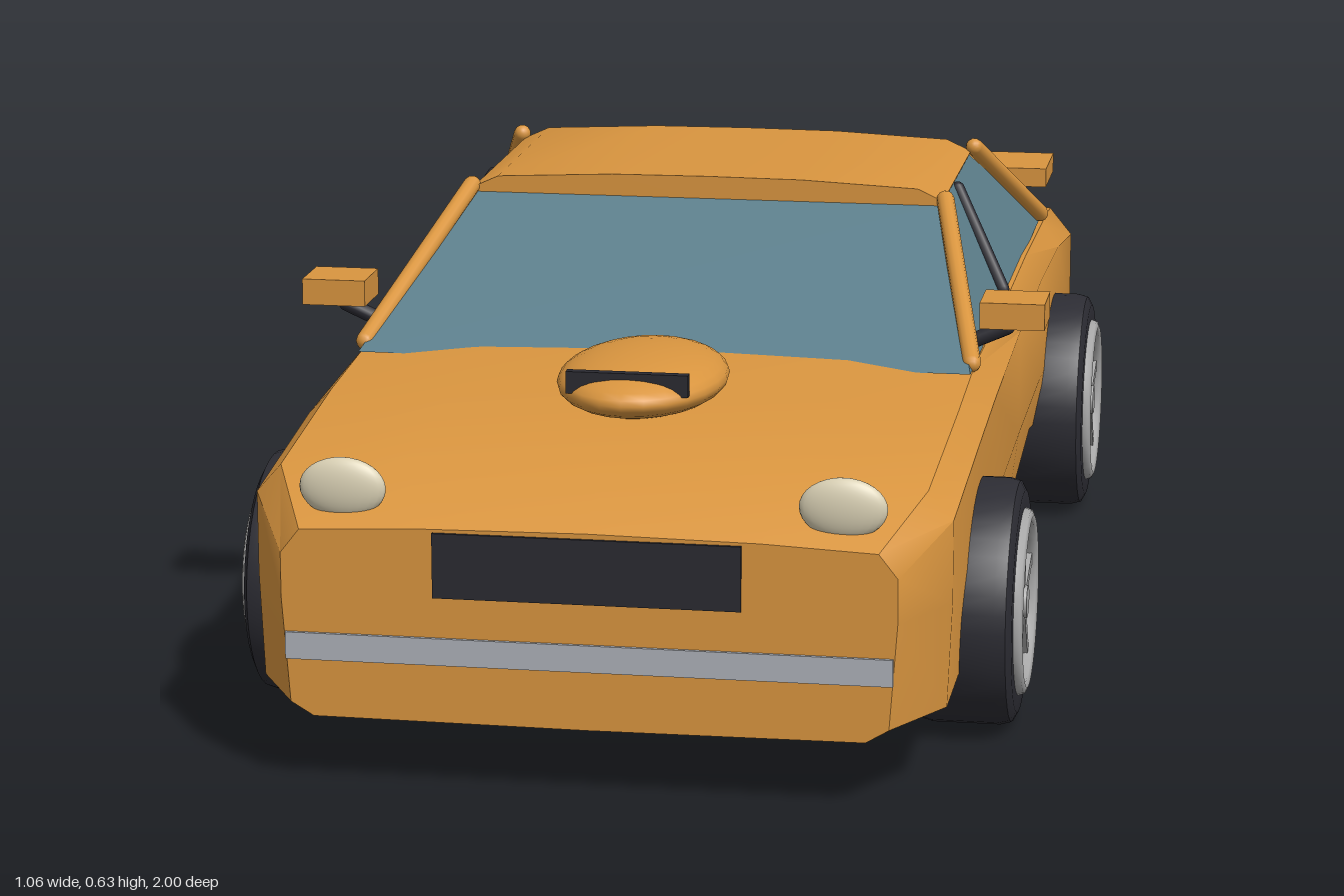
import * as THREE from 'three';
import { toCreasedNormals } from 'three/addons/utils/BufferGeometryUtils.js';

const mat = (name, color) => {
  const m = new THREE.MeshStandardMaterial({ color });
  m.name = name;
  return m;
};

// Skin closed rings (counterclockwise seen from the first ring) and cap both ends
function loft(rings, crease = 0.6) {
  const n = rings[0].length, pos = rings.flat(2), idx = [];
  for (let i = 0; i < rings.length - 1; i++) {
    for (let j = 0; j < n; j++) {
      const a = i * n + j, b = i * n + (j + 1) % n;
      idx.push(a, a + n, b, b, a + n, b + n);
    }
  }
  const last = (rings.length - 1) * n;
  for (let j = 1; j < n - 1; j++) idx.push(0, j, j + 1, last, last + j + 1, last + j);
  const g = new THREE.BufferGeometry();
  g.setAttribute('position', new THREE.Float32BufferAttribute(pos, 3));
  g.setIndex(idx);
  g.computeVertexNormals();
  return toCreasedNormals(g, crease);
}

// Full cross-section at z from its +x half, listed bottom centre to top centre
function section(z, half) {
  const mirrored = half.slice(1, -1).reverse().map(([x, y]) => [-x, y, z]);
  return [...half.map(([x, y]) => [x, y, z]), ...mirrored];
}

export function createModel() {
  const car = new THREE.Group();
  car.name = 'sportsCar';
  const paint = mat('orangePaint', 0xd9953f);
  const glass = mat('windowGlass', 0x5d7f8c);
  const rubber = mat('tyreRubber', 0x2c2c33);
  const trim = mat('darkTrim', 0x2a2a31);
  const under = mat('underbodyBlack', 0x1e1c22);
  const alloy = mat('alloyGrey', 0xa9a9a9);
  const bumper = mat('bumperGrey', 0xadb1b8);
  const lamp = mat('lampCream', 0xd9d0b4);
  const red = mat('tailRed', 0x8f2a26);

  const add = (name, geo, material, x = 0, y = 0, z = 0, parent = car) => {
    const m = new THREE.Mesh(geo, material);
    m.name = name;
    m.position.set(x, y, z);
    parent.add(m);
    return m;
  };
  const box = (name, material, w, h, d, x, y, z, parent) =>
    add(name, new THREE.BoxGeometry(w, h, d), material, x, y, z, parent);
  const bar = (name, material, r, a, b) => {
    const p = new THREE.Vector3(...a), q = new THREE.Vector3(...b);
    const m = add(name, new THREE.CapsuleGeometry(r, p.distanceTo(q), 4, 12), material);
    m.position.copy(p).lerp(q, 0.5);
    m.quaternion.setFromUnitVectors(new THREE.Vector3(0, 1, 0), q.sub(p).normalize());
    return m;
  };
  const ellipsoid = (name, material, rx, ry, rz, x, y, z) => {
    const g = new THREE.SphereGeometry(1, 24, 16);
    g.scale(rx, ry, rz);
    return add(name, g, material, x, y, z);
  };

  // Body shell: z, floor x, sill x, sill y, side x, shoulder y, edge x, edge y, top y
  const stations = [
    [0.99, 0.36, 0.39, 0.11, 0.40, 0.31, 0.375, 0.342, 0.352],
    [0.88, 0.41, 0.452, 0.11, 0.458, 0.36, 0.425, 0.398, 0.412],
    [0.58, 0.41, 0.452, 0.11, 0.462, 0.39, 0.43, 0.425, 0.437],
    [0.38, 0.41, 0.452, 0.11, 0.462, 0.40, 0.43, 0.438, 0.453],
    [0.00, 0.38, 0.445, 0.135, 0.460, 0.405, 0.435, 0.443, 0.455],
    [-0.35, 0.36, 0.445, 0.17, 0.460, 0.405, 0.435, 0.443, 0.455],
    [-0.62, 0.38, 0.45, 0.13, 0.462, 0.40, 0.435, 0.436, 0.447],
    [-0.84, 0.40, 0.452, 0.11, 0.465, 0.375, 0.43, 0.418, 0.428],
    [-0.985, 0.37, 0.40, 0.11, 0.41, 0.31, 0.385, 0.343, 0.352],
  ];
  add('bodyShell', loft(stations.map(([z, fx, sx, sy, wx, wy, ex, ey, top]) => section(z, [
    [0, 0.09], [fx, 0.092], [sx, sy], [wx, 0.25], [wx, wy], [ex, ey], [ex * 0.6, top - 0.003], [0, top],
  ]))), paint);
  box('underbodyPlate', under, 0.63, 0.03, 1.68, 0, 0.085, 0.01);

  // Cabin glass, a tapered block
  const level = (x, y, zf, zb) => [[x, y, zf], [x, y, zb], [-x, y, zb], [-x, y, zf]];
  add('cabinGlass', loft([level(0.345, 0.595, 0.02, -0.36), level(0.43, 0.44, 0.42, -0.645)], 0.1), glass);

  // Crowned roof panel
  const roofHalf = [[0, 0.588], [0.342, 0.588], [0.347, 0.6], [0.31, 0.617], [0.14, 0.625], [0, 0.626]];
  add('roof', loft([section(0.025, roofHalf), section(-0.365, roofHalf)]), paint);

  // Parts repeated on both sides
  for (const s of [1, -1]) {
    const side = s > 0 ? 'left' : 'right';
    bar(side + 'FrontPillar', paint, 0.013, [s * 0.428, 0.448, 0.385], [s * 0.35, 0.602, 0.02]);
    bar(side + 'RearPillar', paint, 0.013, [s * 0.433, 0.455, -0.615], [s * 0.352, 0.607, -0.365]);
    bar(side + 'DoorPillar', trim, 0.01, [s * 0.428, 0.455, -0.055], [s * 0.351, 0.587, -0.14]);
    box(side + 'Mirror', paint, 0.09, 0.037, 0.085, s * 0.48, 0.508, 0.312);
    bar(side + 'MirrorArm', trim, 0.011, [s * 0.425, 0.465, 0.318], [s * 0.47, 0.485, 0.318]);
    box(side + 'DoorHandle', bumper, 0.012, 0.012, 0.08, s * 0.46, 0.426, -0.11);
    ellipsoid(side + 'Headlight', lamp, 0.057, 0.04, 0.017, s * 0.325, 0.39, 0.953);
    box(side + 'TailLight', red, 0.18, 0.052, 0.025, s * 0.25, 0.3, -0.9875);
    const pipe = add(side + 'Exhaust', new THREE.CylinderGeometry(0.015, 0.015, 0.04, 16), bumper, s * 0.22, 0.14, -0.978);
    pipe.rotation.x = Math.PI / 2;
    box(side + 'SpoilerPost', paint, 0.035, 0.05, 0.055, s * 0.3, 0.448, -0.815);
  }

  // Bonnet scoop, nose and tail trim, spoiler
  ellipsoid('bonnetScoop', paint, 0.115, 0.04, 0.178, 0, 0.455, 0.56);
  box('scoopIntake', trim, 0.165, 0.03, 0.014, 0, 0.475, 0.685);
  box('grille', trim, 0.4, 0.086, 0.009, 0, 0.302, 0.99);
  box('frontBumperStrip', bumper, 0.79, 0.036, 0.012, 0, 0.187, 0.989);
  box('rearBumperStrip', bumper, 0.79, 0.036, 0.014, 0, 0.175, -0.986);
  box('spoilerWing', paint, 0.86, 0.03, 0.136, 0, 0.485, -0.817);

  // Wheel built on the y axis, with its outer face towards +y
  const profile = [[0.001, -0.067], [0.15, -0.067], [0.163, -0.06], [0.167, -0.045], [0.167, 0.045],
    [0.163, 0.06], [0.15, 0.067], [0.126, 0.067], [0.115, 0.045], [0.001, 0.045]];
  const tyreGeo = toCreasedNormals(new THREE.LatheGeometry(profile.map(p => new THREE.Vector2(...p)), 40), 0.6);
  const ringGeo = new THREE.TorusGeometry(0.116, 0.011, 8, 40);
  ringGeo.rotateX(Math.PI / 2);
  const hubGeo = new THREE.CylinderGeometry(0.022, 0.026, 0.03, 20);
  const spokeGeo = new THREE.BoxGeometry(0.1, 0.014, 0.016);
  spokeGeo.translate(0.064, 0, 0);
  for (const s of [1, -1]) {
    for (const [end, z] of [['front', 0.578], ['rear', -0.562]]) {
      const wheel = new THREE.Group();
      wheel.name = (s > 0 ? 'left' : 'right') + (end === 'front' ? 'FrontWheel' : 'RearWheel');
      add('tyre', tyreGeo, rubber, 0, 0, 0, wheel);
      add('rimRing', ringGeo, alloy, 0, 0.068, 0, wheel);
      add('hub', hubGeo, alloy, 0, 0.06, 0, wheel);
      for (let i = 0; i < 5; i++) {
        const spoke = add('spoke', spokeGeo, alloy, 0, 0.064, 0, wheel);
        spoke.rotation.y = i * Math.PI * 0.4 + (s > 0 ? Math.PI : 0);
      }
      wheel.position.set(s * 0.453, 0.167, z);
      wheel.rotation.z = -s * Math.PI / 2;
      car.add(wheel);
    }
  }
  return car;
}
